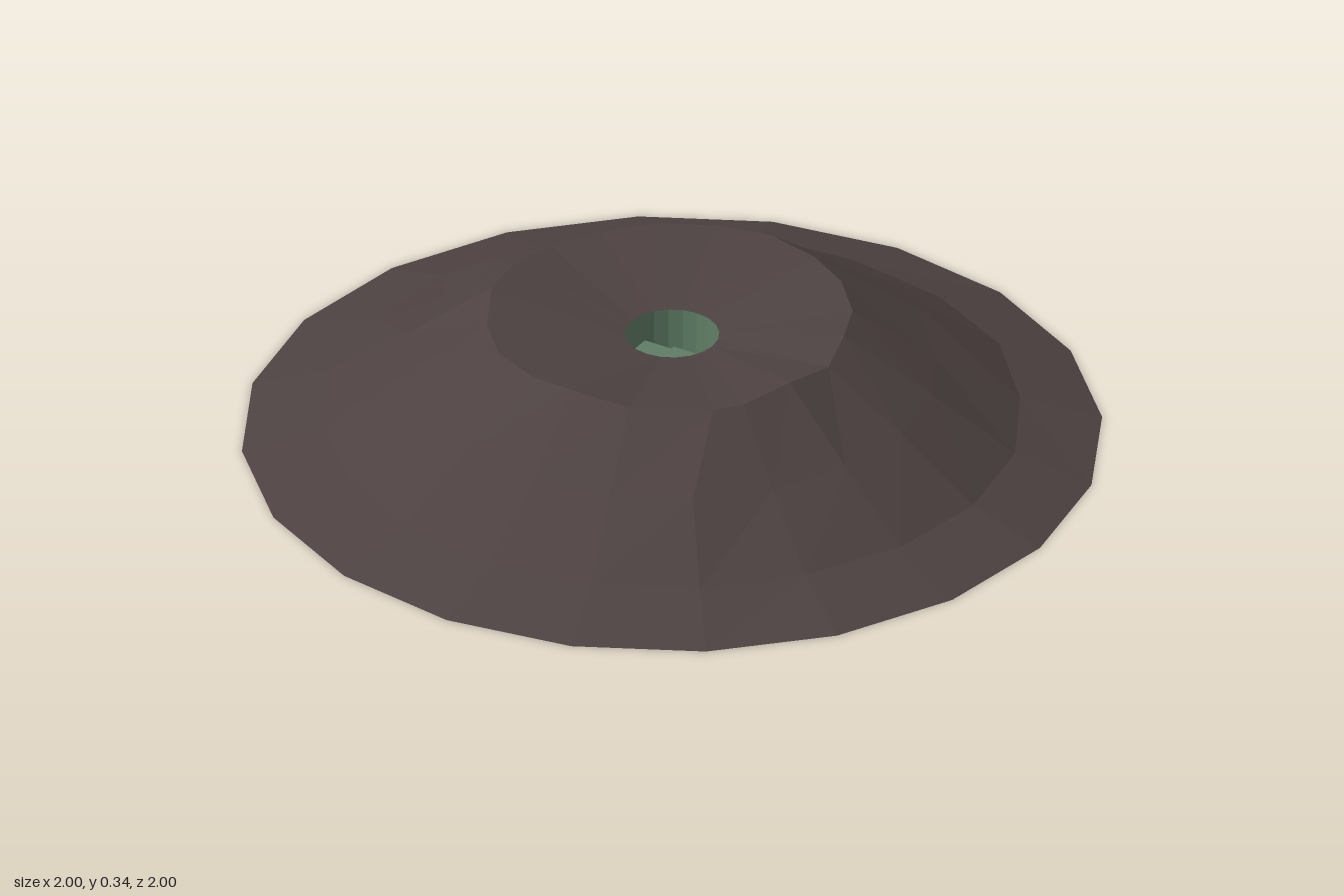
import * as THREE from 'three';

const SIDES = 20;

// A ring of points around the y axis; radius and height may vary per point
function ring(radius, height, turn = () => 0) {
  return Array.from({ length: SIDES }, (_, i) => {
    const a = ((i * 18 + turn(i)) * Math.PI) / 180;
    const r = Array.isArray(radius) ? radius[i] : radius;
    const y = Array.isArray(height) ? height[i] : height;
    return [r * Math.cos(a), y, r * Math.sin(a)];
  });
}

// Faceted skin through rings listed from the outside inwards
function skin(rings) {
  const pos = [];
  for (let k = 0; k < rings.length - 1; k++) {
    for (let i = 0; i < SIDES; i++) {
      const j = (i + 1) % SIDES;
      const [a, b, c, d] = [rings[k][i], rings[k][j], rings[k + 1][i], rings[k + 1][j]];
      pos.push(...a, ...c, ...b, ...b, ...c, ...d);
    }
  }
  const geo = new THREE.BufferGeometry();
  geo.setAttribute('position', new THREE.Float32BufferAttribute(pos, 3));
  geo.computeVertexNormals();
  return geo;
}

export function createModel() {
  const model = new THREE.Group();
  const rock = new THREE.MeshStandardMaterial({ color: 0x4d4241 });
  rock.name = 'dark brown rock';
  const green = new THREE.MeshStandardMaterial({ color: 0x5f7d66 });
  green.name = 'muted green';

  const add = (name, geo, mat, x = 0, y = 0, z = 0) => {
    const mesh = new THREE.Mesh(geo, mat);
    mesh.name = name;
    mesh.position.set(x, y, z);
    model.add(mesh);
    return mesh;
  };

  // Uneven crater rim
  const rimR = [0.425, 0.42, 0.435, 0.44, 0.425, 0.415, 0.42, 0.435, 0.43, 0.43,
    0.43, 0.43, 0.43, 0.43, 0.435, 0.44, 0.435, 0.425, 0.42, 0.41];
  const rimY = [0.31, 0.325, 0.315, 0.315, 0.312, 0.32, 0.312, 0.315, 0.312, 0.335,
    0.325, 0.315, 0.312, 0.315, 0.312, 0.315, 0.31, 0.315, 0.312, 0.32];
  const rim = ring(rimR, rimY, (i) => (i === 3 ? -8 : i === 5 ? 3 : 0));
  const wobble = (base, amount) =>
    Array.from({ length: SIDES }, (_, i) => base + amount * Math.sin(i * 2.3 + 0.7));

  // Outer slope: thin skirt, then the steeper flank
  add('slope', skin([
    ring(1, 0),
    ring(wobble(0.815, 0.006), 0.06),
    ring(wobble(0.62, 0.008), wobble(0.187, 0.006)),
    rim,
  ]), rock);

  // Shallow dish falling towards the hole
  const mouth = ring(0.11, 0.27);
  add('dish', skin([rim, mouth]), rock);

  // Shaft wall and its floor
  add('shaftWall', skin([mouth, ring(0.105, 0.12)]), green);
  const floor = new THREE.CircleGeometry(0.105, SIDES).rotateX(-Math.PI / 2);
  add('shaftFloor', floor, rock, 0, 0.12, 0);

  // Green blocks nested inside the shaft
  add('centreBlock', new THREE.BoxGeometry(0.14, 0.08, 0.07), green, -0.025, 0.165, 0);
  for (const s of [-1, 1]) {
    add('sideBlock', new THREE.BoxGeometry(0.09, 0.06, 0.04), green, 0, 0.15, s * 0.062);
  }

  // Closed underside
  add('underside', new THREE.CircleGeometry(1, SIDES).rotateX(Math.PI / 2), rock);
  return model;
}
